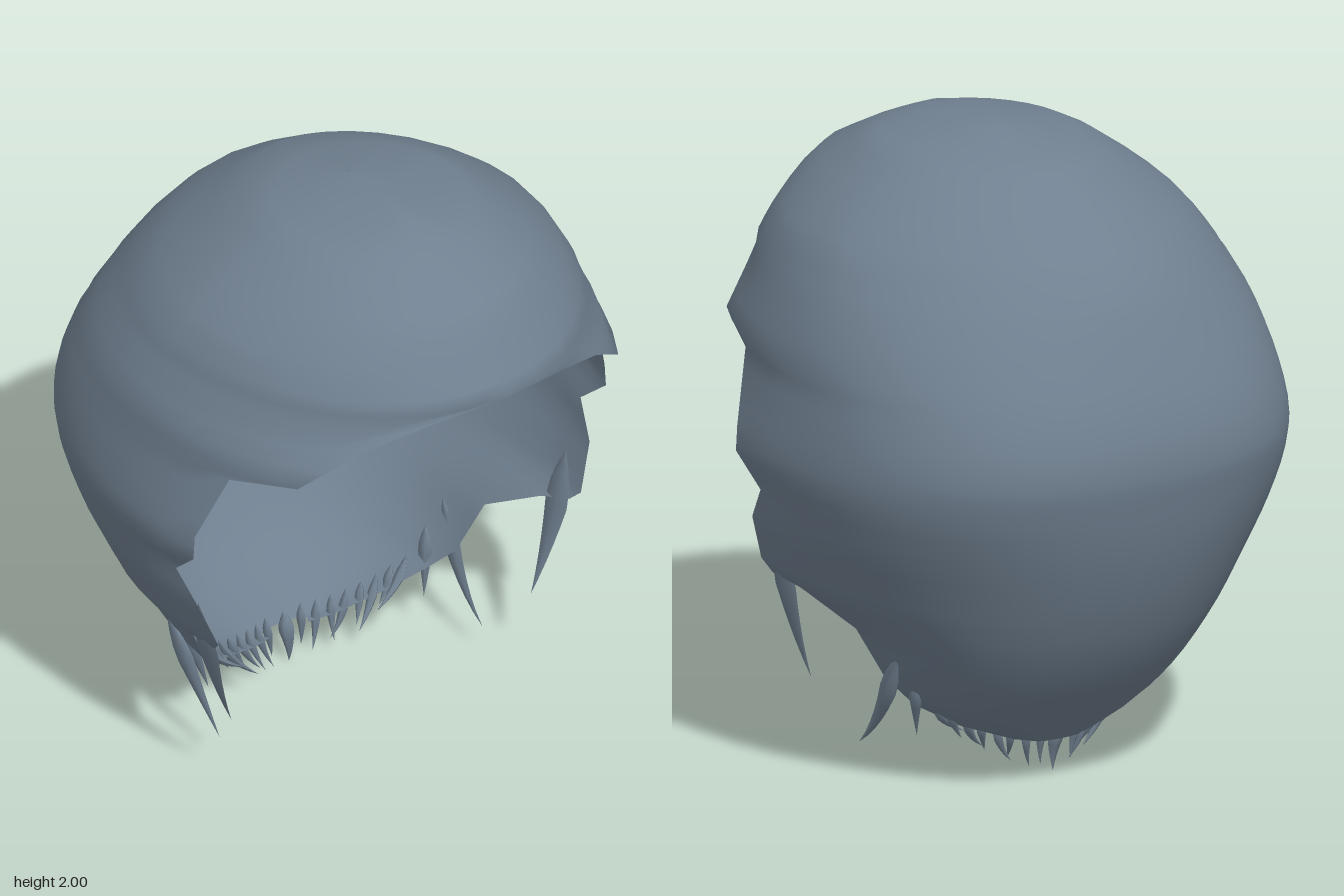
import * as THREE from 'three';
import { mergeVertices } from 'three/addons/utils/BufferGeometryUtils.js';

const COLUMNS = 16; // per half, from the front edge to the back

// Rings from crown to nape: y, half width, front z, back z, z of the widest point, back boxiness
const RINGS = [
  [2, 0, 0.24, 0.06, 0.15, 1.8], [1.99, 0.09, 0.38, 0, 0.15, 1.8], [1.955, 0.3, 0.47, -0.16, 0.14, 1.8],
  [1.92, 0.37, 0.55, -0.29, 0.12, 1.8], [1.85, 0.47, 0.69, -0.39, 0.1, 1.8],
  [1.73, 0.61, 0.78, -0.555, 0.07, 1.8], [1.6, 0.69, 0.86, -0.67, 0.03, 1.9],
  [1.45, 0.755, 0.92, -0.75, 0.01, 2.1], [1.28, 0.79, 0.98, -0.825, 0, 2.3],
  [1.12, 0.81, 1.02, -0.857, 0, 2.4], [0.98, 0.805, 1, -0.835, 0, 2.35],
  [0.84, 0.765, 0.93, -0.8, 0, 2.25], [0.7, 0.7, 0.83, -0.75, -0.01, 2.2],
  [0.59, 0.645, 0.72, -0.7, -0.02, 2.2], [0.48, 0.58, 0.52, -0.64, -0.05, 2.2],
  [0.33, 0.47, 0.25, -0.53, -0.1, 2.2], [0.2, 0.33, 0, -0.39, -0.18, 2.2],
  [0.1, 0.1, -0.2, -0.29, -0.25, 2.2],
];

// Left half of the hem, from the fringe around to the nape
const HEM = [
  [0, 1.605, 0.86], [0.26, 1.56, 0.79], [0.46, 1.485, 0.7], [0.61, 1.375, 0.61], [0.7, 1.32, 0.38],
  [0.78, 1.1, 0.31], [0.785, 1.02, 0.31], [0.77, 0.92, 0.2], [0.745, 0.81, 0.28], [0.69, 0.66, 0.31],
  [0.675, 0.62, 0.27], [0.64, 0.59, 0.17], [0.56, 0.49, -0.01], [0.48, 0.33, -0.05],
  [0.42, 0.25, -0.12], [0.3, 0.18, -0.18], [0.15, 0.13, -0.23], [0.07, 0.115, -0.26],
];

// Index of the table row that ends the span holding height y
const spanEnd = (table, k, y) => Math.max(1, table.findIndex((row) => row[k] <= y));

function hemPoint(y) {
  const i = spanEnd(HEM, 1, y);
  const [a, b] = [HEM[i - 1], HEM[i]];
  const t = (a[1] - y) / (a[1] - b[1]);
  return a.map((v, n) => THREE.MathUtils.lerp(v, b[n], t));
}

// Smooth ring between the listed ones
function ringAt(y) {
  const i = spanEnd(RINGS, 0, y);
  const [a, b] = [RINGS[i - 1], RINGS[i]];
  const before = RINGS[Math.max(0, i - 2)], after = RINGS[Math.min(RINGS.length - 1, i + 1)];
  const span = b[0] - a[0];
  const t = (y - a[0]) / span;
  return a.map((v, n) => {
    const ma = ((b[n] - before[n]) / (b[0] - before[0])) * span;
    const mb = ((after[n] - v) / (after[0] - a[0])) * span;
    const d = b[n] - v;
    return v + t * (ma + t * (3 * d - 2 * ma - mb + t * (ma + mb - 2 * d)));
  });
}

// Rings are plain ovals in front and boxier at the back
function ringPoint([y, width, front, back, mid, boxy], angle) {
  const c = Math.cos(angle), s = Math.max(0, Math.sin(angle));
  const e = 2 / (c > 0 ? 2 : boxy);
  const reach = Math.pow(Math.abs(c), e) * (c > 0 ? front - mid : back - mid);
  return [width * Math.pow(s, e), y, mid + reach];
}

// Angle on the ring nearest to a hem point
function hemAngle([, width, front, back, mid, boxy], [x, , z]) {
  const d = z - mid;
  const e = (d > 0 ? 2 : boxy) / 2;
  const c = Math.pow(Math.abs(d / (d > 0 ? front - mid : back - mid)), e);
  return Math.atan2(Math.pow(x / width, e), d > 0 ? c : -c);
}

// Points at one height, from the left front edge around the back to the right one
function capRow(y) {
  const ring = ringAt(y);
  const onHem = y <= HEM[0][1];
  const edge = onHem ? hemPoint(y) : ringPoint(ring, 0);
  const start = onHem ? hemAngle(ring, edge) : 0;
  const miss = ringPoint(ring, start).map((v, a) => edge[a] - v);
  const left = [];
  for (let j = 0; j <= COLUMNS; j++) {
    const u = j / COLUMNS;
    const p = ringPoint(ring, THREE.MathUtils.lerp(start, Math.PI, u));
    left.push(p.map((v, a) => v + miss[a] * (1 - u) ** 4));
  }
  left[COLUMNS][0] = 0;
  const right = left.slice(0, -1).reverse().map(([x, py, z]) => [-x, py, z]);
  return [...left, ...right];
}

// Heights of the hem corners and crown rings, with wide gaps halved
function capHeights() {
  const crown = RINGS.map((r) => r[0]).filter((y) => y > 1.65);
  const main = [...crown, ...HEM.map((h) => h[1])];
  return main.flatMap((y, i) => {
    const next = main[i + 1] ?? y;
    const parts = Math.max(1, Math.round((y - next) / 0.05));
    return Array.from({ length: parts }, (_, k) => THREE.MathUtils.lerp(y, next, k / parts));
  });
}

function capGeometry() {
  const rows = capHeights().map(capRow);
  const n = 2 * COLUMNS + 1;
  const index = [];
  for (let r = 0; r < rows.length - 1; r++) {
    for (let j = 0; j < n - 1; j++) {
      const a = r * n + j, b = a + n;
      index.push(a, b, a + 1, a + 1, b, b + 1);
    }
  }
  let geo = new THREE.BufferGeometry();
  geo.setAttribute('position', new THREE.Float32BufferAttribute(rows.flat(2), 3));
  geo.setIndex(index);
  geo = mergeVertices(geo, 1e-4);
  geo.computeVertexNormals();
  return geo;
}

// Curved lock of hair, slim at the root and tapering to a point
function strandGeometry(root, bend, tip, radius, flat) {
  const curve = new THREE.QuadraticBezierCurve3(
    new THREE.Vector3(...root), new THREE.Vector3(...bend), new THREE.Vector3(...tip));
  const steps = 8, sides = 5;
  const geo = new THREE.TubeGeometry(curve, steps, radius, sides);
  const pos = geo.attributes.position;
  const p = new THREE.Vector3();
  for (let i = 0; i < pos.count; i++) {
    const t = Math.floor(i / (sides + 1)) / steps;
    const c = curve.getPointAt(t);
    p.fromBufferAttribute(pos, i).sub(c).multiplyScalar(Math.min(1, t * 3) * (1 - t));
    p.x *= flat;
    p.add(c);
    pos.setXYZ(i, p.x, p.y, p.z);
  }
  geo.computeVertexNormals();
  return geo;
}

export function createModel() {
  const group = new THREE.Group();
  const hair = new THREE.MeshStandardMaterial({ color: 0x708090, side: THREE.DoubleSide });
  hair.name = 'slate hair';

  const add = (name, geometry) => {
    const mesh = new THREE.Mesh(geometry, hair);
    mesh.name = name;
    group.add(mesh);
  };

  add('hairCap', capGeometry());

  for (const side of [1, -1]) {
    const label = side > 0 ? 'left' : 'right';
    const lock = (name, root, bend, tip, radius, flat) => {
      const [a, b, c] = [root, bend, tip].map(([x, y, z]) => [x * side, y, z]);
      add(label + name, strandGeometry(a, b, c, radius, flat));
    };
    // Long locks beside the face and behind the ear
    lock('SideLock', [0.7, 0.77, 0.22], [0.65, 0.48, 0.22], [0.57, 0.28, 0.215], 0.085, 0.25);
    lock('EarLock', [0.525, 0.44, -0.18], [0.49, 0.2, -0.06], [0.5, 0.1, 0.06], 0.065, 0.4);
    lock('RearLock', [0.46, 0.36, -0.18], [0.43, 0.24, -0.14], [0.41, 0.15, -0.12], 0.05, 0.5);

    // Short wisps fanned along the nape, leaning towards the middle
    for (let i = 0; i < 8; i++) {
      const u = (i + 0.5) / 8;
      const x = 0.04 + 0.34 * u;
      const y = 0.12 + 0.12 * u * u;
      const z = -0.28 + 0.12 * u;
      const drop = 0.09 - 0.03 * u + (i % 2) * 0.02;
      lock('NapeWisp' + (i + 1), [x * 1.1, y + 0.05, z - 0.02], [x, y - drop * 0.4, z],
        [x * (i % 2 ? 0.7 : 0.9), y - drop, z + (i % 3) * 0.02], 0.03, 0.7);
    }
  }
  add('napeTip', strandGeometry([0, 0.17, -0.29], [0, 0.08, -0.25], [0, 0, -0.26], 0.045, 0.9));

  return group;
}
